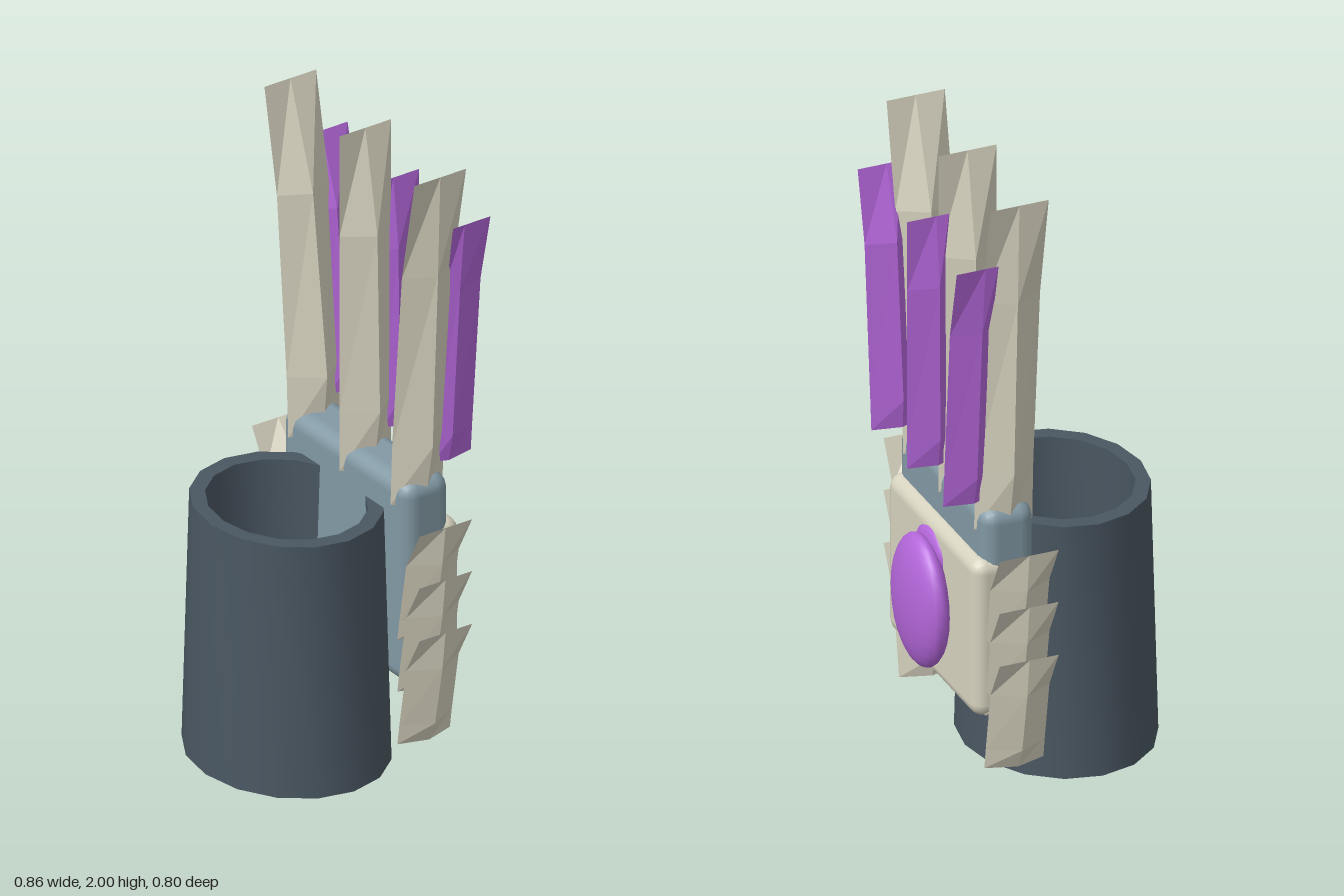
import * as THREE from 'three';
import { toCreasedNormals } from 'three/addons/utils/BufferGeometryUtils.js';
import { RoundedBoxGeometry } from 'three/addons/geometries/RoundedBoxGeometry.js';

function material(name, color) {
  const m = new THREE.MeshStandardMaterial({ color });
  m.name = name;
  return m;
}

// Blade with diamond cross-sections. Levels from bottom to top: [y, centre x, half width].
// zs = [front edge, ridge, back edge]
function bladeGeometry(levels, zs, side) {
  const pos = [];
  const idx = [];
  const [front, ridge, back] = zs;
  for (const [y, cx, w] of levels) {
    const x = cx * side;
    pos.push(x, y, front, x + w, y, ridge, x, y, back, x - w, y, ridge);
  }
  for (let i = 0; i < levels.length - 1; i++) {
    for (let j = 0; j < 4; j++) {
      const a = i * 4 + j, b = i * 4 + (j + 1) % 4;
      idx.push(a, b, b + 4, a, b + 4, a + 4);
    }
  }
  idx.push(0, 2, 1, 0, 3, 2); // bottom cap
  const g = new THREE.BufferGeometry();
  g.setAttribute('position', new THREE.Float32BufferAttribute(pos, 3));
  g.setIndex(idx);
  const flat = g.toNonIndexed();
  flat.computeVertexNormals();
  return flat;
}

export function createModel() {
  const group = new THREE.Group();
  const cuffMat = material('dark slate', 0x4a5762);
  const steel = material('blue grey', 0x8299a4);
  const bone = material('bone', 0xd6d2bf);
  const purple = material('purple', 0xb366d9);
  bone.side = THREE.DoubleSide;
  purple.side = THREE.DoubleSide;

  function add(name, geometry, mat, x = 0, y = 0, z = 0) {
    const mesh = new THREE.Mesh(geometry, mat);
    mesh.name = name;
    mesh.position.set(x, y, z);
    group.add(mesh);
    return mesh;
  }

  // Oval tapered cuff, open at both ends
  const profile = [[0.345, 0], [0.32, 0.835], [0.268, 0.835], [0.29, 0], [0.345, 0]]
    .map(([r, y]) => new THREE.Vector2(r, y));
  const cuff = new THREE.LatheGeometry(profile, 16);
  cuff.scale(1, 1, 0.86);
  add('cuff', toCreasedNormals(cuff, 0.7), cuffMat, 0, 0, 0.1);

  // Hand block and the armour plate behind it
  add('handBlock', new RoundedBoxGeometry(0.65, 0.68, 0.17, 2, 0.05), steel, 0, 0.61, -0.19);
  add('backPlate', new RoundedBoxGeometry(0.66, 0.53, 0.12, 2, 0.045), bone, 0, 0.525, -0.25);

  // Oval gem with a small bump above it
  const ball = new THREE.SphereGeometry(1, 20, 14);
  add('gem', ball, purple, 0, 0.52, -0.34).scale.set(0.168, 0.215, 0.065);
  add('gemBump', ball, purple, 0, 0.68, -0.305).scale.set(0.1, 0.075, 0.025);

  // Three long claws, each with a purple blade behind it
  const clawZ = [-0.093, -0.188, -0.282];
  const bladeZ = [-0.248, -0.29, -0.384];
  for (const side of [-1, 0, 1]) {
    const w = side ? 0.052 : 0.062;
    add('claw', bladeGeometry(
      [[0.87, 0.262, 0.045], [1.07, 0.27, 0.075], [1.66, 0.32, w], [2, 0.384, 0]],
      clawZ, side), bone);
    add('clawBlade', bladeGeometry(
      [[0.97, 0.265, 0.018], [1.06, 0.272, 0.032], [1.57, 0.315, 0.027], [1.8, 0.366, 0]],
      bladeZ, side), purple);
  }

  // Three overlapping spikes down each side
  for (const side of [-1, 1]) {
    for (const tip of [0.84, 0.665, 0.487]) {
      add('sideSpike', bladeGeometry(
        [[tip - 0.397, 0.315, 0.03], [tip - 0.33, 0.325, 0.05],
          [tip - 0.13, 0.36, 0.053], [tip, 0.429, 0]],
        [-0.08, -0.175, -0.272], side), bone);
    }
  }
  return group;
}
